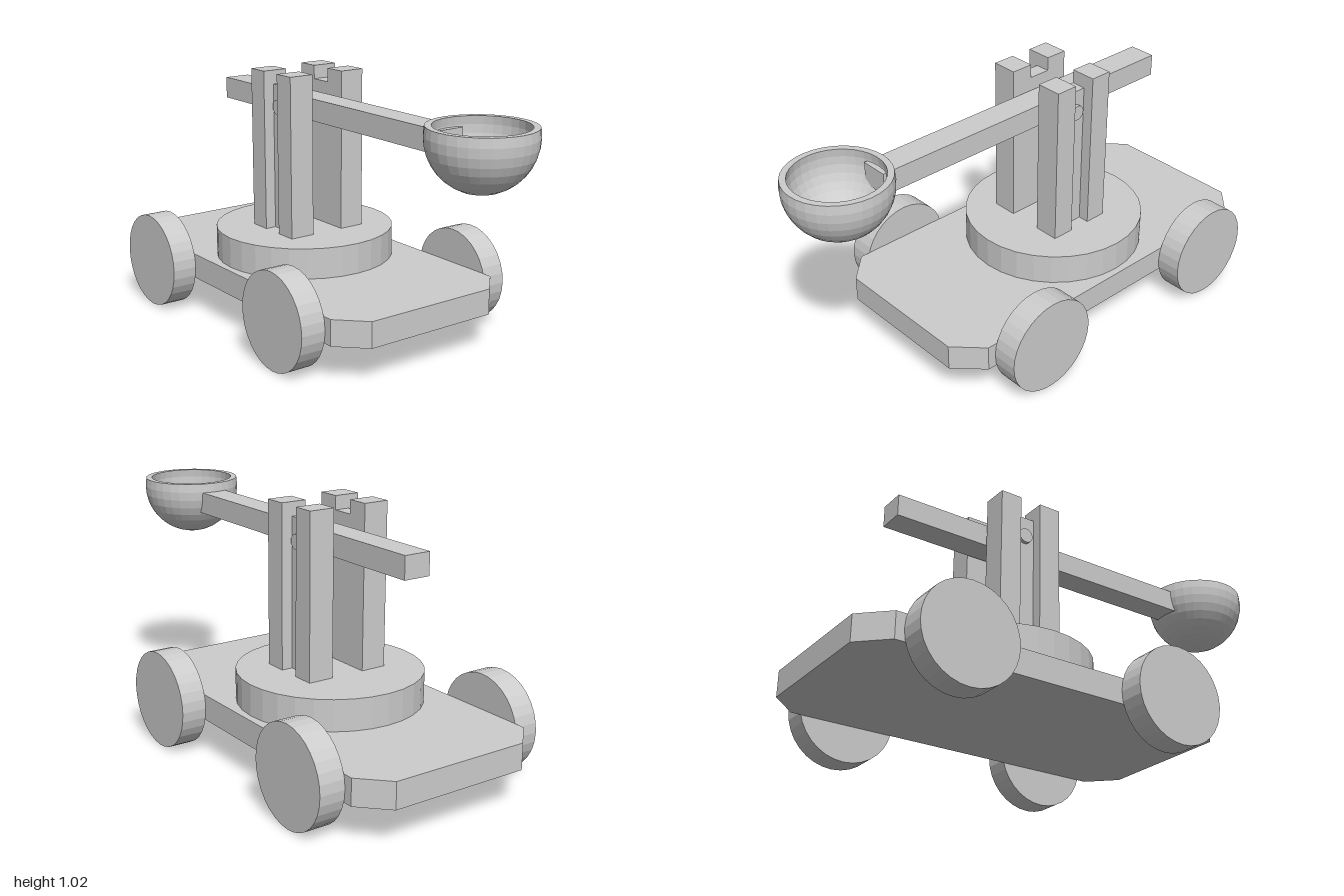
import * as THREE from 'three';

export function createModel() {
  const group = new THREE.Group();
  const grey = new THREE.MeshStandardMaterial({ color: 0xcccccc, flatShading: true });
  grey.name = 'plain grey';

  function add(name, geometry, x = 0, y = 0, z = 0) {
    const mesh = new THREE.Mesh(geometry, grey);
    mesh.name = name;
    mesh.position.set(x, y, z);
    group.add(mesh);
    return mesh;
  }

  // Box given by its lower and upper limits on each axis
  function block(name, [x0, x1], [y0, y1], [z0, z1]) {
    return add(name, new THREE.BoxGeometry(x1 - x0, y1 - y0, z1 - z0),
      (x0 + x1) / 2, (y0 + y1) / 2, (z0 + z1) / 2);
  }

  // Cylinder lying along x
  function roller(name, radius, length, sides, x, y, z) {
    const geometry = new THREE.CylinderGeometry(radius, radius, length, sides);
    return add(name, geometry.rotateZ(Math.PI / 2), x, y, z);
  }

  // Deck with clipped corners
  const w = 0.39, front = 0.57, back = -1, c = 0.105;
  const outline = [
    [-w, back + c], [-w + c, back], [w - c, back], [w, back + c],
    [w, front - c], [w - c, front], [-w + c, front], [-w, front - c],
  ].map(([x, z]) => new THREE.Vector2(x, -z));
  const deck = new THREE.ExtrudeGeometry(new THREE.Shape(outline), { depth: 0.103, bevelEnabled: false });
  add('deck', deck.rotateX(-Math.PI / 2), 0, 0.147, 0);

  // Turntable
  const pivotZ = -0.217;
  add('turntable', new THREE.CylinderGeometry(0.363, 0.363, 0.123, 32), 0, 0.3115, -0.24);

  for (const side of [-1, 1]) {
    const label = side > 0 ? 'left' : 'right';
    const span = (a, b) => (side > 0 ? [a, b] : [-b, -a]);

    // Wheels
    roller(label + 'FrontWheel', 0.194, 0.102, 32, side * 0.441, 0.195, 0.238);
    roller(label + 'BackWheel', 0.194, 0.102, 32, side * 0.441, 0.195, -0.667);

    // Twin posts with a lower, recessed web between them
    block(label + 'FrontPost', span(0.07, 0.175), [0.373, 1.02], [-0.172, -0.08]);
    block(label + 'BackPost', span(0.07, 0.175), [0.373, 1.02], [-0.352, -0.262]);
    block(label + 'PostWeb', span(0.07, 0.13), [0.373, 0.965], [-0.262, -0.172]);
  }

  // Axle and throwing arm
  roller('axle', 0.03, 0.29, 24, 0, 0.878, pivotZ);
  block('throwingArm', [-0.055, 0.055], [0.832, 0.92], [-0.737, 0.645]);

  // Hollow cup: outer bowl up to the rim, then down the inside
  const profile = [];
  const arc = (radius, from, to, steps) => {
    for (let i = 0; i <= steps; i++) {
      const a = from + ((to - from) * i) / steps;
      profile.push(new THREE.Vector2(Math.max(0, radius * Math.cos(a)), radius * Math.sin(a)));
    }
  };
  const rim = 0.037, outer = 0.2, inner = 0.176;
  arc(outer, -Math.PI / 2, Math.asin(rim / outer), 10);
  arc(inner, Math.asin(rim / inner), -Math.PI / 2, 10);
  add('cup', new THREE.LatheGeometry(profile, 32), 0, 0.92, 0.798);

  return group;
}
